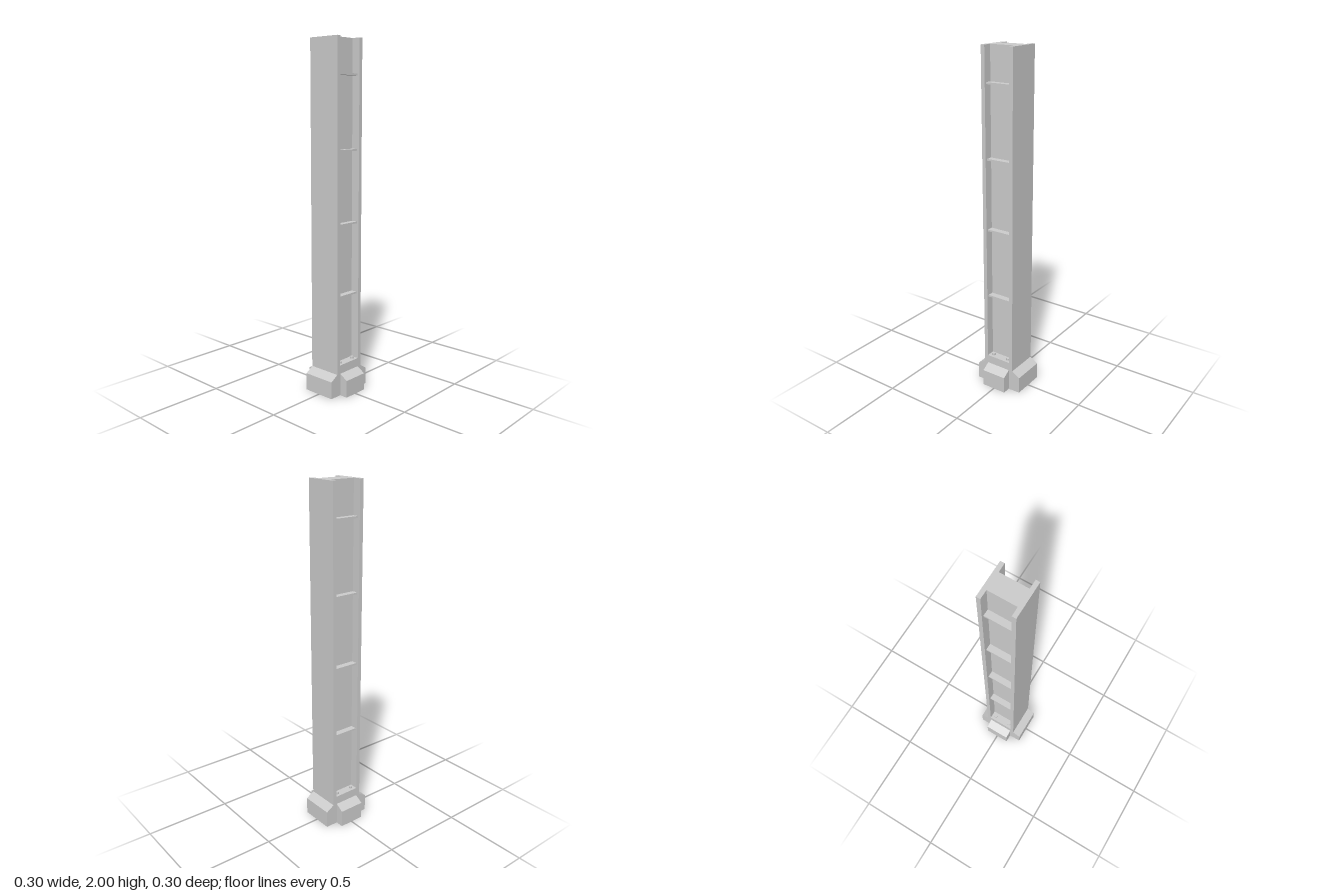
import * as THREE from 'three';

export function createModel() {
  const model = new THREE.Group();
  const material = new THREE.MeshStandardMaterial({ color: 0xcccccc, flatShading: true });

  function add(name, geometry, x = 0, y = 0, z = 0, parent = model) {
    const mesh = new THREE.Mesh(geometry, material);
    mesh.name = name;
    mesh.position.set(x, y, z);
    parent.add(mesh);
    return mesh;
  }

  const baseTop = 0.18, height = 2;
  const half = 0.1, inner = 0.077, webZ = 0.05;

  // H-shaped shaft, solid through the centre
  const section = new THREE.Shape([
    [-half, -half], [-inner, -half], [-inner, -webZ], [inner, -webZ],
    [inner, -half], [half, -half], [half, half], [inner, half],
    [inner, webZ], [-inner, webZ], [-inner, half], [-half, half],
  ].map(([x, y]) => new THREE.Vector2(x, y)));
  const shaft = new THREE.ExtrudeGeometry(section, { depth: height - baseTop, bevelEnabled: false });
  shaft.rotateX(-Math.PI / 2);
  add('shaft', shaft, 0, baseTop, 0);

  // Solid block closing the channels at the bottom
  add('baseBlock', new THREE.BoxGeometry(2 * half, baseTop, 2 * half), 0, baseTop / 2, 0);

  // Four feet with sloping tops, one against each side of the base
  const profile = new THREE.Shape([
    [0.09, 0], [0.149, 0], [0.149, 0.1], [0.1, 0.13], [0.09, 0.13],
  ].map(([x, y]) => new THREE.Vector2(x, y)));
  for (let i = 0; i < 4; i++) {
    const width = i % 2 ? 0.152 : 0.198;
    const foot = new THREE.ExtrudeGeometry(profile, { depth: width, bevelEnabled: false });
    foot.translate(0, 0, -width / 2);
    add('foot', foot).rotation.y = i * Math.PI / 2;
  }

  // Cross ribs and ledge bolts in the front and back channels
  for (const side of [1, -1]) {
    const channel = new THREE.Group();
    channel.name = side > 0 ? 'frontChannel' : 'backChannel';
    for (let i = 0; i < 4; i++) {
      add('rib', new THREE.BoxGeometry(2 * inner, 0.01, 0.04), 0, 0.575 + i * 0.41, 0.067, channel);
    }
    for (const x of [-0.052, 0.052]) {
      add('bolt', new THREE.CylinderGeometry(0.01, 0.01, 0.012, 8), x, baseTop + 0.006, 0.075, channel);
    }
    channel.rotation.y = side > 0 ? 0 : Math.PI;
    model.add(channel);
  }

  return model;
}
